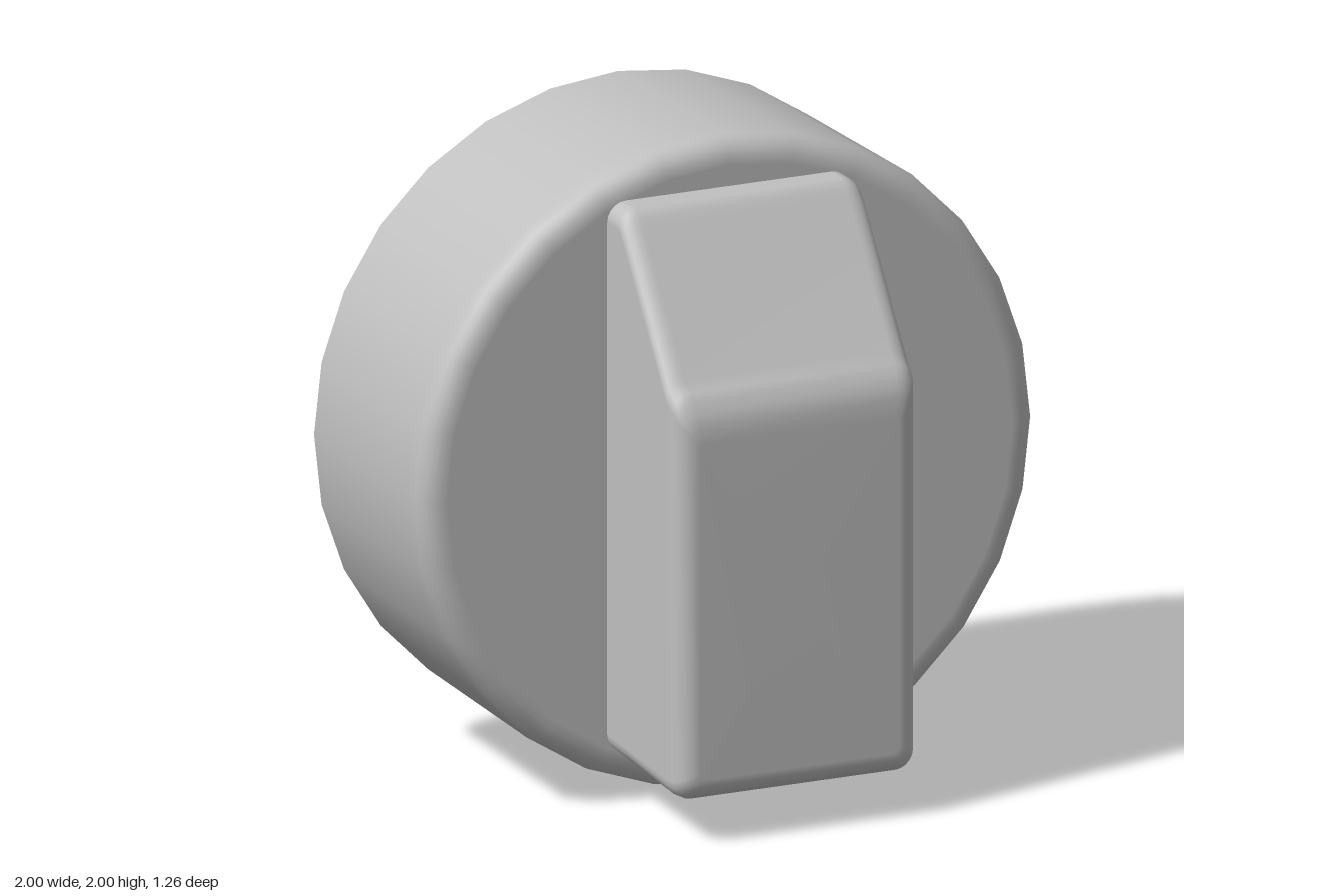
import * as THREE from 'three';

const grey = new THREE.MeshStandardMaterial({ color: 0xc0c0c0, side: THREE.DoubleSide });
grey.name = 'plainGrey';

// Rounded rectangle outline, counter-clockwise seen from the front
function outline(halfWidth, bottom, top, radius, steps = 5) {
  const corners = [
    [halfWidth - radius, top - radius],
    [-halfWidth + radius, top - radius],
    [-halfWidth + radius, bottom + radius],
    [halfWidth - radius, bottom + radius],
  ];
  const points = [];
  corners.forEach(([cx, cy], k) => {
    for (let i = 0; i <= steps; i++) {
      const a = (k + i / steps) * Math.PI / 2;
      points.push([cx + radius * Math.cos(a), cy + radius * Math.sin(a)]);
    }
  });
  return points;
}

// Loft through sections of [z, halfWidth, bottom, top, radius], closed at the front
function loft(sections) {
  const positions = [], index = [];
  let n = 0;
  for (const [z, w, bottom, top, r] of sections) {
    const ring = outline(w, bottom, top, r);
    n = ring.length;
    for (const [x, y] of ring) positions.push(x - 0.005, y, z);
  }
  for (let s = 0; s < sections.length - 1; s++) {
    for (let i = 0; i < n; i++) {
      const a = s * n + i, b = s * n + (i + 1) % n;
      index.push(a, b, b + n, a, b + n, a + n);
    }
  }
  const [z, , bottom, top] = sections[sections.length - 1];
  const centre = positions.length / 3, last = centre - n;
  positions.push(-0.005, (bottom + top) / 2, z);
  for (let i = 0; i < n; i++) index.push(last + i, last + (i + 1) % n, centre);
  const geometry = new THREE.BufferGeometry();
  geometry.setAttribute('position', new THREE.Float32BufferAttribute(positions, 3));
  geometry.setIndex(index);
  geometry.computeVertexNormals();
  return geometry;
}

export function createModel() {
  const group = new THREE.Group();
  group.name = 'controlKnob';

  // Round cap: 28-sided, rounded front rim, open at the back
  const profile = [[0.985, -0.63], [0.999, 0.03]];
  for (let i = 0; i <= 6; i++) {
    const a = (i / 6) * Math.PI / 2;
    profile.push([0.925 + 0.075 * Math.cos(a), 0.065 + 0.075 * Math.sin(a)]);
  }
  profile.push([0.915, 0.14], [0, 0.14]);
  const capGeometry = new THREE.LatheGeometry(profile.map(([r, h]) => new THREE.Vector2(r, h)), 28);
  capGeometry.rotateX(Math.PI / 2);
  const cap = new THREE.Mesh(capGeometry, grey);
  cap.name = 'roundCap';
  cap.position.y = 1;
  group.add(cap);

  // Grip: hollow, sloped at the top, its walls reaching behind the cap face
  const sections = [
    [-0.06, 0.393, 0.17, 1.85, 0.06],
    [0.14, 0.393, 0.16, 1.85, 0.06],
    [0.205, 0.393, 0.156, 1.85, 0.06],
    [0.225, 0.393, 0.155, 1.842, 0.06],
    [0.243, 0.393, 0.154, 1.823, 0.06],
    [0.26, 0.393, 0.153, 1.8, 0.06],
    [0.545, 0.393, 0.136, 1.412, 0.06],
  ];
  // Rounded front edge
  const slopeTops = [1.385, 1.355, 1.325, 1.29, 1.235];
  slopeTops.forEach((top, i) => {
    const a = ((i + 1) / 5) * Math.PI / 2, inset = 0.07 * (1 - Math.cos(a));
    sections.push([0.56 + 0.07 * Math.sin(a), 0.393 - inset, 0.135 + inset, top, 0.06 - 0.5 * inset]);
  });
  const grip = new THREE.Mesh(loft(sections), grey);
  grip.name = 'grip';
  group.add(grip);

  return group;
}
